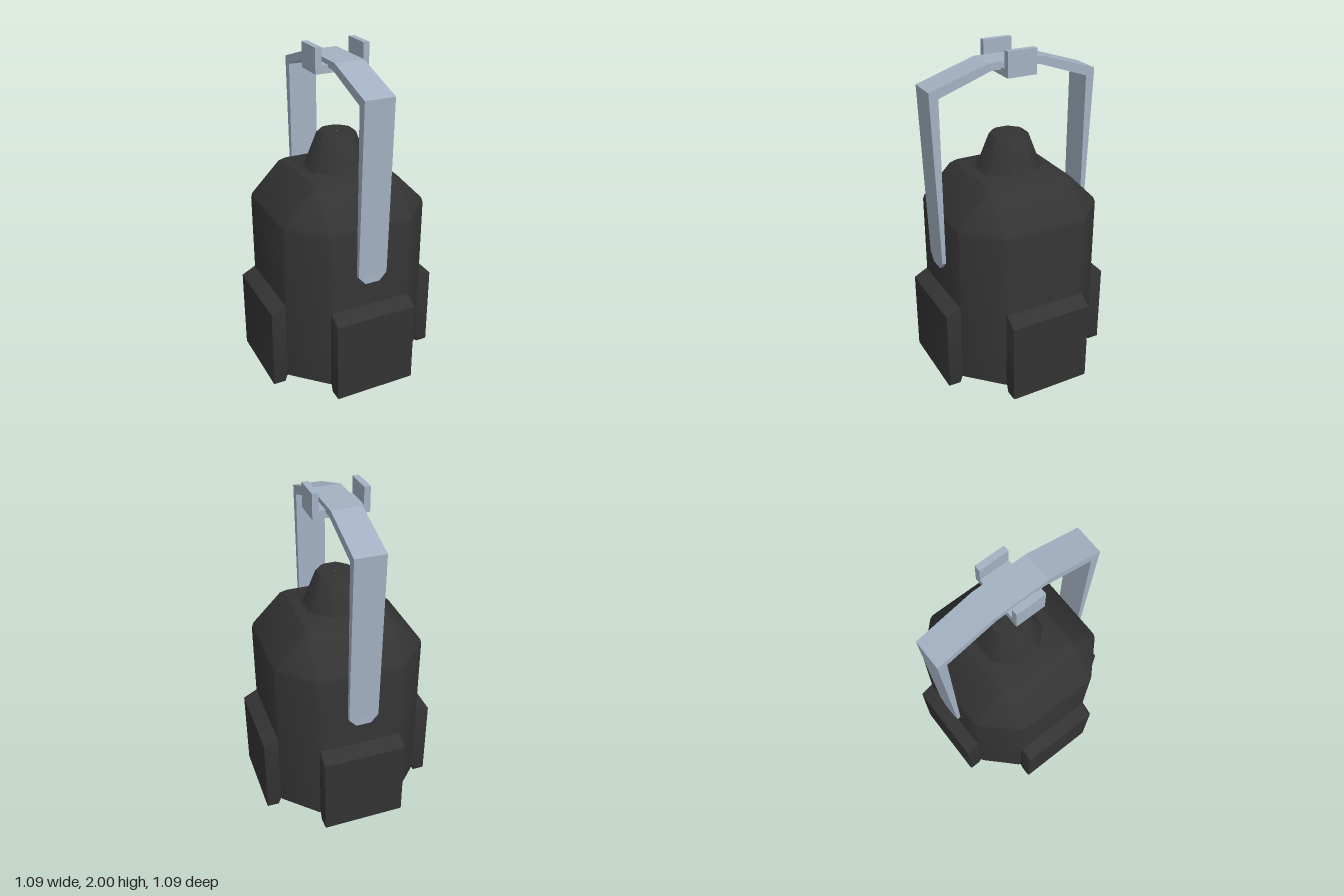
import * as THREE from 'three';
import { toCreasedNormals } from 'three/addons/utils/BufferGeometryUtils.js';

const paint = (color) => new THREE.MeshStandardMaterial({ color });

// Eight-sided section with softened corners: flats at distance a, half width b
function octagon(a, b) {
  const s = Math.min(0.015, b * 0.2);
  const d = s * Math.SQRT1_2;
  const pts = [];
  for (let q = 0; q < 4; q++) {
    const c = Math.round(Math.cos(q * Math.PI / 2));
    const n = Math.round(Math.sin(q * Math.PI / 2));
    const k = Math.min(d, (a - b) / 2);
    for (const [x, z] of [[a, b - s], [a - k, b + k], [b + k, a - k], [b - s, a]]) {
      pts.push([x * c - z * n, x * n + z * c]);
    }
  }
  return pts;
}

// Skin through rings of [height, flat distance, flat half width]
function loft(rings) {
  const pos = [], index = [], n = 16;
  for (const [y, a, b] of rings) for (const [x, z] of octagon(a, b)) pos.push(x, y, z);
  for (let i = 0; i < rings.length - 1; i++) {
    for (let k = 0; k < n; k++) {
      const p = i * n + k, q = i * n + (k + 1) % n;
      index.push(p, p + n, q, q, p + n, q + n);
    }
  }
  const geo = new THREE.BufferGeometry();
  geo.setAttribute('position', new THREE.Float32BufferAttribute(pos, 3));
  geo.setIndex(index);
  return toCreasedNormals(geo, 0.6);
}

// Outline extruded and centred along z
function slab(points, depth, bevel = 0) {
  const shape = new THREE.Shape(points.map(([x, y]) => new THREE.Vector2(x, y)));
  const geo = new THREE.ExtrudeGeometry(shape, {
    depth: depth - 2 * bevel, bevelEnabled: bevel > 0, bevelSize: bevel,
    bevelThickness: bevel, bevelOffset: -bevel, bevelSegments: 2,
  });
  geo.translate(0, 0, -depth / 2 + bevel);
  return geo;
}

export function createModel() {
  const model = new THREE.Group();
  const dark = paint(0x333333), steel = paint(0xa3b1c2);
  const add = (name, geo, mat, parent = model) => {
    const mesh = new THREE.Mesh(geo, mat);
    mesh.name = name;
    parent.add(mesh);
    return mesh;
  };

  // Housing: recessed rim, straight walls, sloped shoulder and top cap
  add('housing', loft([
    [0.07, 0.385, 0.215], [0.045, 0.4, 0.225], [0.04, 0.45, 0.25], [0.05, 0.46, 0.257],
    [1.04, 0.46, 0.257], [1.06, 0.452, 0.257], [1.24, 0.275, 0.255],
    [1.26, 0.25, 0.235], [1.262, 0.19, 0.1], [1.275, 0.178, 0.08],
    [1.47, 0.11, 0.048], [1.48, 0.1, 0.042], [1.48, 0.001, 0.0005],
  ]), dark);

  // Lens and its thin trim, set in the bottom opening
  add('lensTrim', loft([[0.065, 0.375, 0.21], [0.065, 0.388, 0.217]]), paint(0xc8961e));
  add('lens', loft([[0.062, 0.001, 0.0005], [0.062, 0.381, 0.213]]), paint(0x555555));

  // Four guard pads around the base
  const padGeo = toCreasedNormals(slab([
    [0.42, 0.05], [0.455, 0.04], [0.47, 0], [0.545, 0], [0.545, 0.51], [0.46, 0.555], [0.42, 0.555],
  ], 0.512, 0.01), 0.6);
  for (let i = 0; i < 4; i++) {
    add('guardPad' + (i + 1), padGeo, dark).rotation.y = i * Math.PI / 2;
  }

  // Carrying handle: bent strap from front to back
  const handle = new THREE.Group();
  handle.name = 'handle';
  handle.position.x = -0.005;
  model.add(handle);
  const half = [[0.486, 0.765], [0.52, 1.815], [0.17, 1.928], [0.15, 1.885], [0.465, 1.775], [0.463, 0.765]];
  const outer = half.slice(0, 3), inner = half.slice(3);
  const flip = (list) => list.map(([z, y]) => [-z, y]).reverse();
  const strap = slab([...outer, ...flip(outer), ...flip(inner), ...inner].reverse(), 0.18);
  strap.rotateY(-Math.PI / 2);
  add('strap', strap, steel, handle);

  // Clipped strap ends
  const tipShape = [[-0.09, 0.765], [-0.045, 0.715], [0.045, 0.715], [0.09, 0.765]];
  for (const side of [1, -1]) {
    add(side > 0 ? 'frontStrapEnd' : 'backStrapEnd', slab(tipShape, 0.022), steel, handle)
      .position.z = side * 0.474;
  }

  // Upright U-shaped bracket on top of the handle
  add('topBracket', slab([
    [-0.165, 1.853], [0.165, 1.853], [0.165, 2], [0.128, 2], [0.128, 1.9],
    [-0.128, 1.9], [-0.128, 2], [-0.165, 2],
  ], 0.18), steel, handle);

  return model;
}
